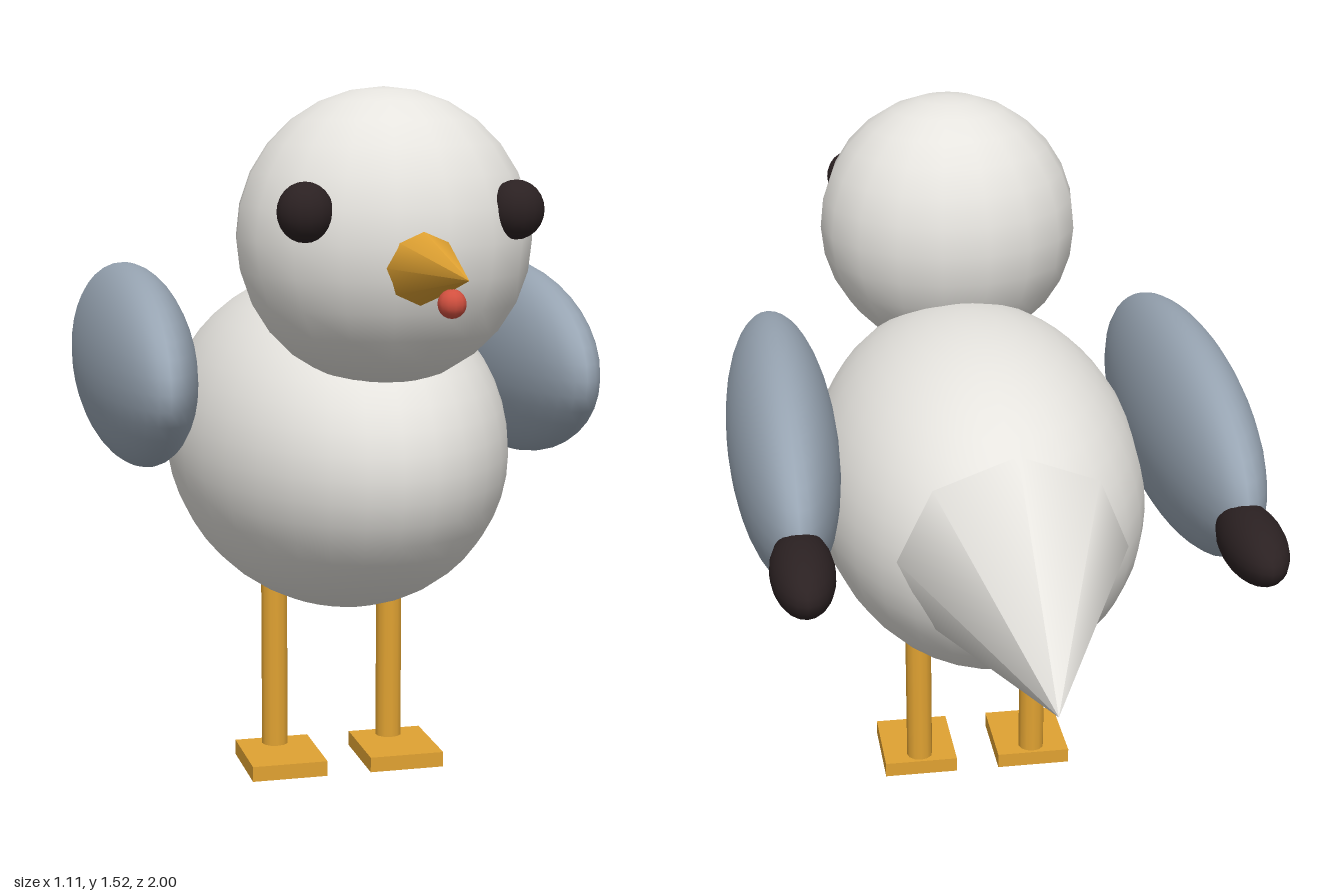
import * as THREE from 'three';

const mat = (name, color) => {
  const m = new THREE.MeshStandardMaterial({ color });
  m.name = name;
  return m;
};

export function createModel() {
  const bird = new THREE.Group();
  bird.name = 'seabird';

  const white = mat('offWhite', 0xe6e4df);
  const grey = mat('wingGrey', 0x98a5b3);
  const orange = mat('legOrange', 0xe0a232);
  const dark = mat('nearBlack', 0x2b2122);
  const red = mat('beakSpotRed', 0xd2503f);

  const add = (name, geometry, material, x, y, z) => {
    const mesh = new THREE.Mesh(geometry, material);
    mesh.name = name;
    mesh.position.set(x, y, z);
    bird.add(mesh);
    return mesh;
  };
  const ellipsoid = (rx, ry, rz, w = 24, h = 16) =>
    new THREE.SphereGeometry(1, w, h).scale(rx, ry, rz);

  // Body and head
  add('body', ellipsoid(0.367, 0.372, 0.6, 32, 24), white, 0, 0.747, 0);
  add('head', ellipsoid(0.3, 0.3, 0.3, 18, 14), white, 0, 1.22, 0.427);

  // Beak points forward, with a small spot beneath its tip
  const beak = new THREE.ConeGeometry(0.073, 0.3, 8).rotateX(Math.PI / 2);
  add('beak', beak, orange, 0, 1.18, 0.85);
  add('beakSpot', ellipsoid(0.027, 0.027, 0.027, 12, 10), red, 0, 1.13, 0.9);

  // Tail cone points backward and tips down
  const tail = new THREE.ConeGeometry(0.238, 0.5, 8).rotateX(-Math.PI / 2);
  add('tail', tail, white, 0, 0.748, -0.755).rotation.x = -0.19;

  // Paired parts
  for (const [side, s] of [['left', 1], ['right', -1]]) {
    add(side + 'Eye', ellipsoid(0.055, 0.058, 0.055, 16, 12), dark, s * 0.21, 1.283, 0.637);
    add(side + 'Wing', ellipsoid(0.117, 0.22, 0.56, 32, 20), grey, s * 0.438, 0.912, -0.112);
    add(side + 'WingTip', ellipsoid(0.063, 0.065, 0.145, 20, 14), dark, s * 0.438, 0.88, -0.702);
    add(side + 'Leg', new THREE.CylinderGeometry(0.03, 0.03, 0.4, 12), orange, s * 0.135, 0.21, -0.003);
    add(side + 'Foot', new THREE.BoxGeometry(0.17, 0.034, 0.2), orange, s * 0.135, 0.017, 0.06);
  }

  return bird;
}
